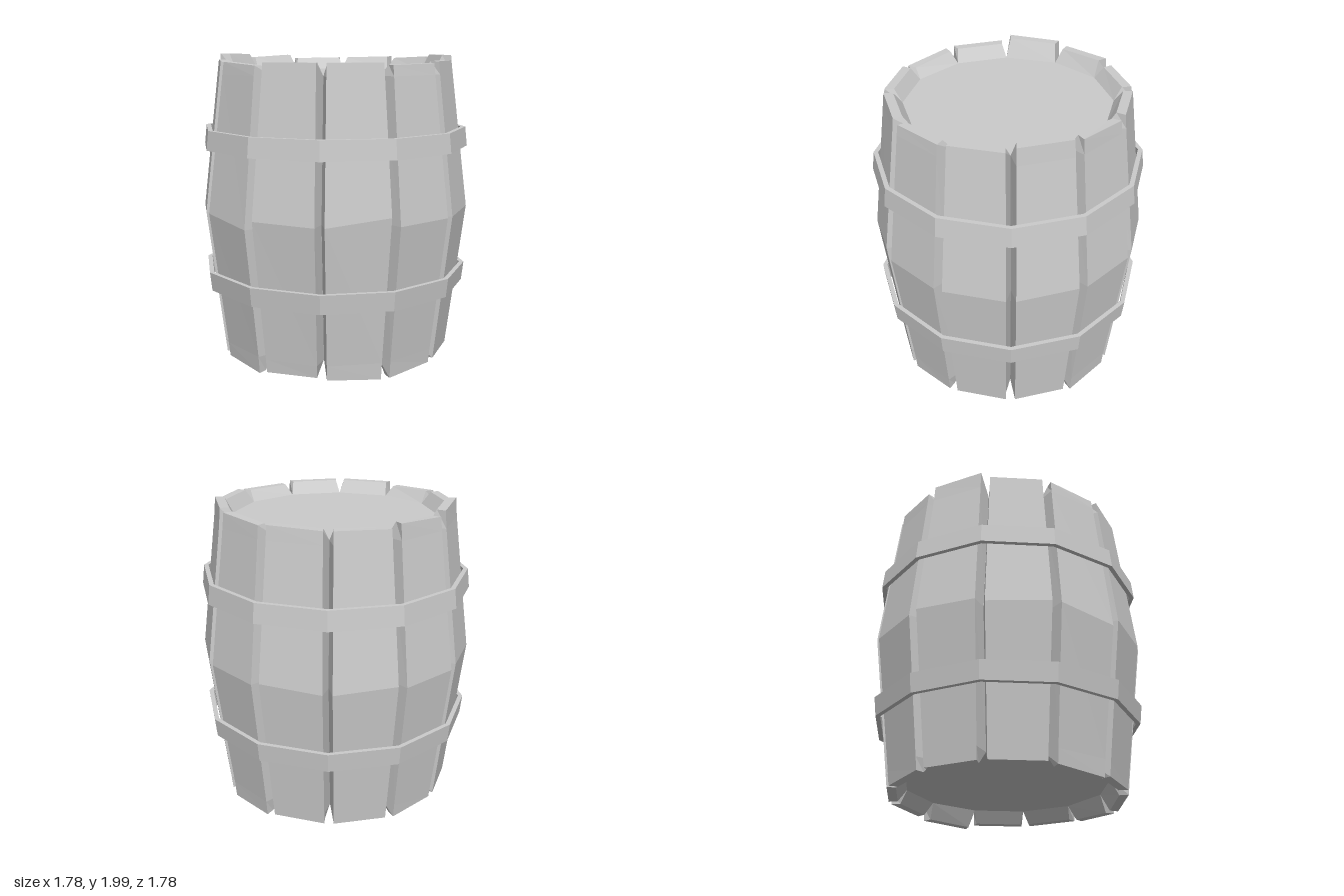
import * as THREE from 'three';

const SIDES = 12;
const GAP = 0.03; // half the gap between two staves
const material = new THREE.MeshStandardMaterial({ color: 0xcccccc, flatShading: true });

// Hand-made unevenness per stave: [top, middle, bottom] shifts at its two edges
const WOBBLE = [
  [0, 0, 0, 0, 0, 0],
  [-0.01, -0.015, 0, 0, -0.01, -0.03],
  [0, 0, 0.06, 0.01, -0.03, -0.015],
  [0, 0, 0.01, 0.02, 0, -0.01],
  [-0.02, -0.005, -0.04, 0, -0.03, -0.01],
  [0, 0, 0, -0.02, 0, 0],
  [0.04, 0.03, 0, 0.02, 0, 0],
  [0.005, 0.02, 0, 0, 0, -0.01],
  [-0.005, 0, 0.02, 0, 0, 0],
  [0, 0.01, 0, 0.02, 0, 0],
  [0, 0.015, 0, 0, -0.02, -0.03],
  [0.03, 0.03, 0.01, 0, 0, 0],
];

// Stave cross-sections from bottom to top: height, inner radius, inner gap, outer radius
const SECTIONS = [
  [0.04, 0.71, GAP, 0.77],
  [0.12, 0.66, 0, 0.78],
  [1.0, 0.78, 0, 0.89],
  [1.88, 0.66, 0, 0.78],
  [1.96, 0.71, GAP, 0.77],
];

function staveGeometry(k) {
  const [topA, topB, midA, midB, botA, botB] = WOBBLE[k];
  const a = (k / SIDES) * Math.PI * 2;
  const b = ((k + 1) / SIDES) * Math.PI * 2;
  const shiftsA = [botA, 0, midA, 0, topA];
  const shiftsB = [botB, 0, midB, 0, topB];
  const pos = [];
  // A corner on the edge line at this angle, moved sideways by the gap
  const corner = (angle, r, side, y) => pos.push(
    Math.cos(angle) * r - Math.sin(angle) * side, y,
    Math.sin(angle) * r + Math.cos(angle) * side);
  SECTIONS.forEach(([y, rIn, gapIn, rOut], i) => {
    corner(a, rIn, gapIn, y + shiftsA[i]);
    corner(a, rOut, GAP, y + shiftsA[i]);
    corner(b, rOut, -GAP, y + shiftsB[i]);
    corner(b, rIn, -gapIn, y + shiftsB[i]);
  });
  const index = [0, 1, 2, 0, 2, 3];
  const last = (SECTIONS.length - 1) * 4;
  for (let s = 0; s < last; s += 4) {
    for (let c = 0; c < 4; c++) {
      const p = s + c, q = s + ((c + 1) % 4);
      index.push(p, p + 4, q + 4, p, q + 4, q);
    }
  }
  index.push(last, last + 2, last + 1, last, last + 3, last + 2);
  const g = new THREE.BufferGeometry();
  g.setAttribute('position', new THREE.Float32BufferAttribute(pos, 3));
  g.setIndex(index);
  const flat = g.toNonIndexed();
  flat.computeVertexNormals();
  return flat;
}

// Twelve-sided ring or drum turned from a profile of [radius, height] points
function turned(name, profile) {
  const points = profile.map(([r, y]) => new THREE.Vector2(r, y));
  const mesh = new THREE.Mesh(new THREE.LatheGeometry(points, SIDES), material);
  mesh.name = name;
  return mesh;
}

export function createModel() {
  const barrel = new THREE.Group();
  barrel.name = 'barrel';

  // Staves
  const staves = new THREE.Group();
  staves.name = 'staves';
  for (let k = 0; k < SIDES; k++) {
    const stave = new THREE.Mesh(staveGeometry(k), material);
    stave.name = `stave${k + 1}`;
    staves.add(stave);
  }
  barrel.add(staves);

  // Inner drum with the recessed lid and base
  barrel.add(turned('lidAndBase', [[0, 0.12], [0.66, 0.12], [0.78, 1], [0.66, 1.88], [0, 1.88]]));

  // Hoops
  const hoop = (name, y0, r0, y1, r1) => turned(name, [
    [r0 - 0.03, y0], [r0, y0], [r1, y1], [r1 - 0.03, y1], [r0 - 0.03, y0],
  ]);
  barrel.add(hoop('upperHoop', 1.4, 0.887, 1.525, 0.873));
  barrel.add(hoop('lowerHoop', 0.48, 0.873, 0.603, 0.887));

  return barrel;
}
